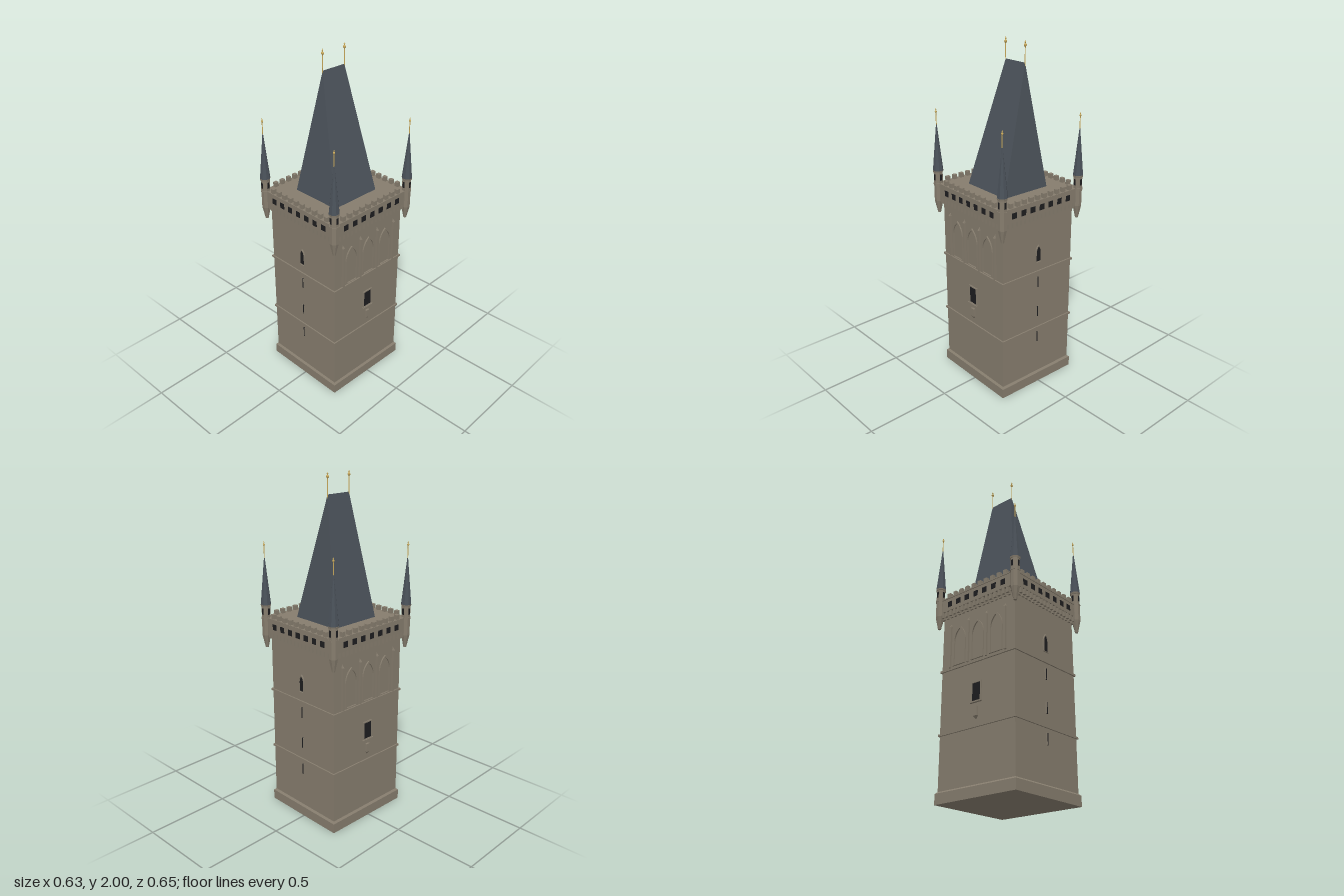
import * as THREE from 'three';

const mat = (name, color) => {
  const m = new THREE.MeshStandardMaterial({ color });
  m.name = name;
  return m;
};

export function createModel() {
  const stone = mat('stone', 0x857c6d);
  const slate = mat('slate', 0x4b525a);
  const dark = mat('darkOpening', 0x1d1d1f);
  const gold = mat('gold', 0xc9a95c);

  const tower = new THREE.Group();
  tower.name = 'tower';
  tower.rotation.y = -0.0367; // the plan stands slightly turned

  const add = (parent, name, geo, material, x = 0, y = 0, z = 0) => {
    const m = new THREE.Mesh(geo, material);
    m.name = name;
    m.position.set(x, y, z);
    parent.add(m);
    return m;
  };
  const group = (parent, name) => {
    const g = new THREE.Group();
    g.name = name;
    parent.add(g);
    return g;
  };
  const faceted = (g) => {
    const f = g.toNonIndexed();
    f.computeVertexNormals();
    return f;
  };
  // Rectangular stone block from y0 to y1 with half sizes hx, hz
  const block = (parent, name, hx, hz, y0, y1) =>
    add(parent, name, new THREE.BoxGeometry(hx * 2, y1 - y0, hz * 2), stone, 0, (y0 + y1) / 2, 0);
  // Block whose top corners are moved to given half sizes and offsets
  const taper = (hx, hz, y0, y1, top) => {
    const g = new THREE.BoxGeometry(hx * 2, y1 - y0, hz * 2);
    const p = g.attributes.position;
    for (let i = 0; i < p.count; i++) {
      if (p.getY(i) > 0)
        p.setXYZ(i, top.x + Math.sign(p.getX(i)) * top.hx, y1, top.z + Math.sign(p.getZ(i)) * top.hz);
      else p.setY(i, y0);
    }
    return faceted(g);
  };

  // Main body: half width A along x, half depth B along z
  const A = 0.256, B = 0.265;
  block(tower, 'plinth', A + 0.011, B + 0.011, 0, 0.058);
  add(tower, 'plinthSlope', taper(A + 0.011, B + 0.011, 0.058, 0.068, { x: 0, z: 0, hx: A, hz: B }), stone);
  block(tower, 'body', A, B, 0.06, 1.066);
  for (const y of [0.37, 0.735]) block(tower, 'stringCourse', A + 0.008, B + 0.008, y - 0.006, y + 0.006);

  // Gallery
  const PA = 0.28, PB = 0.289;
  block(tower, 'gallery', PA, PB, 1.096, 1.178);
  block(tower, 'galleryCornice', PA + 0.004, PB + 0.004, 1.172, 1.18);

  // Pointed arch outline, centred on u = 0
  const arch = (Type, hw, y0, spring, apex) => {
    const s = new Type();
    const h = apex - spring;
    s.moveTo(-hw, y0);
    s.lineTo(hw, y0);
    s.lineTo(hw, spring);
    s.quadraticCurveTo(hw * 0.92, spring + h * 0.65, 0, apex);
    s.quadraticCurveTo(-hw * 0.92, spring + h * 0.65, -hw, spring);
    s.closePath();
    return s;
  };
  const extrude = (shape, depth) =>
    new THREE.ExtrudeGeometry(shape, { depth, bevelEnabled: false, curveSegments: 6 });
  const archFrame = (hw, y0, spring, apex, t, depth) => {
    const s = arch(THREE.Shape, hw, y0, spring, apex);
    s.holes.push(arch(THREE.Path, hw - t, y0 + 0.002, spring, apex - t * 1.4));
    return extrude(s, depth);
  };
  const rectFrame = (parent, name, w, h, t, depth, y) => {
    for (const s of [-1, 1]) {
      add(parent, name, new THREE.BoxGeometry(t, h + 2 * t, depth), stone, s * (w + t) / 2, y, depth / 2);
      add(parent, name, new THREE.BoxGeometry(w, t, depth), stone, 0, y + s * (h + t) / 2, depth / 2);
    }
  };

  // Front and back: arched window above three slits
  const slitFace = (f) => {
    add(f, 'archedWindow', extrude(arch(THREE.Shape, 0.016, 0.8, 0.855, 0.89), 0.003), dark);
    add(f, 'archedWindowFrame', archFrame(0.022, 0.794, 0.855, 0.9, 0.006, 0.007), stone);
    for (const y of [0.307, 0.477, 0.667]) {
      add(f, 'slit', new THREE.BoxGeometry(0.011, 0.065, 0.004), dark, 0, y, 0.001);
      for (const s of [-1, 1])
        add(f, 'slitJamb', new THREE.BoxGeometry(0.004, 0.065, 0.006), stone, s * 0.0075, y, 0.003);
    }
  };

  // Left and right: blind arcade, framed window and bracket
  const arcadeFace = (f) => {
    for (const i of [-1, 0, 1])
      add(f, 'blindArch', archFrame(0.046, 0.75, 0.9, 0.982, 0.009, 0.008), stone, i * 0.135);
    for (const i of [-1.5, -0.5, 0.5, 1.5]) {
      add(f, 'pilaster', new THREE.BoxGeometry(0.012, 0.25, 0.012), stone, i * 0.135, 0.87, 0.006);
      add(f, 'pilasterTip', taper(0.006, 0.006, 0.995, 1.015, { x: 0, z: -0.006, hx: 0, hz: 0 }),
        stone, i * 0.135, 0, 0.006);
    }
    add(f, 'squareWindow', new THREE.BoxGeometry(0.058, 0.1, 0.004), dark, 0, 0.56, 0.001);
    rectFrame(f, 'squareWindowFrame', 0.058, 0.1, 0.007, 0.007, 0.56);
    add(f, 'windowSill', new THREE.BoxGeometry(0.08, 0.008, 0.013), stone, 0, 0.503, 0.0065);
    add(f, 'bracket', new THREE.BoxGeometry(0.026, 0.05, 0.012), stone, 0, 0.45, 0.006);
    const tip = taper(0.013, 0.006, 0, 0.018, { x: 0, z: -0.006, hx: 0, hz: 0 });
    add(f, 'bracketTip', tip, stone, 0, 0.425, 0.006).rotation.z = Math.PI;
  };

  // Gallery detail on one side: corbels, openings, merlons
  const galleryFace = (f, half, step) => {
    const n = 18;
    for (let i = 0; i < n; i++) {
      const u = ((i + 0.5) / n - 0.5) * 2 * (half - 0.012);
      add(f, 'corbel', new THREE.BoxGeometry(0.016, 0.034, 0.03), stone, u, 1.081, -0.016);
      add(f, 'corbelFoot', new THREE.BoxGeometry(0.016, 0.018, 0.016), stone, u, 1.063, -0.022);
    }
    for (let i = -3; i <= 3; i++)
      add(f, 'galleryOpening', new THREE.BoxGeometry(0.032, 0.033, 0.004), dark, i * step, 1.135, 0);
    for (let i = 0; i < 10; i++)
      add(f, 'merlon', new THREE.BoxGeometry(0.023, 0.028, 0.021), stone, (i - 4.5) * 0.0475, 1.193, -0.0105);
  };

  ['front', 'left', 'back', 'right'].forEach((name, k) => {
    const across = k % 2 === 1;
    const turn = group(tower, name + 'Side');
    turn.rotation.y = (k * Math.PI) / 2;
    const wall = group(turn, name + 'Wall');
    wall.position.z = across ? A : B;
    (across ? arcadeFace : slitFace)(wall);
    const gallery = group(turn, name + 'Gallery');
    gallery.position.z = across ? PA : PB;
    galleryFace(gallery, across ? PB : PA, across ? 0.067 : 0.0655);
  });

  // Finial: thin rod with two knobs
  const finial = (parent, x, y, z, h, r) => {
    const pts = [[0.0025, -0.02], [0.0025, h * 0.68], [r, h * 0.75], [r, h * 0.79], [0.002, h * 0.85],
      [r * 0.6, h * 0.89], [0.0015, h * 0.93], [0, h]].map(([a, b]) => new THREE.Vector2(a, b));
    add(parent, 'finial', faceted(new THREE.LatheGeometry(pts, 6)), gold, x, y, z);
  };

  // Steep roof with an off-centre ridge
  add(tower, 'roof', taper(0.154, 0.159, 1.179, 1.88, { x: -0.038, z: -0.0195, hx: 0, hz: 0.079 }), slate);
  for (const z of [-0.0985, 0.0595]) finial(tower, -0.038, 1.88, z, 0.12, 0.008);

  // Octagonal corner turrets
  const oct = (rTop, rBottom, y0, y1) =>
    faceted(new THREE.CylinderGeometry(rTop, rBottom, y1 - y0, 8).rotateY(Math.PI / 8).translate(0, (y0 + y1) / 2, 0));
  for (const sx of [-1, 1]) for (const sz of [-1, 1]) {
    const t = group(tower, 'turret');
    t.position.set(sx * 0.275, 0, sz * 0.285);
    add(t, 'turretFoot', oct(0.026, 0.009, 1.0, 1.075), stone);
    add(t, 'turretShaft', oct(0.026, 0.026, 1.075, 1.252), stone);
    add(t, 'turretBand', oct(0.029, 0.029, 1.172, 1.181), stone);
    add(t, 'turretEave', oct(0.031, 0.029, 1.246, 1.256), stone);
    add(t, 'turretSpire', oct(0.001, 0.03, 1.256, 1.535), slate);
    for (let k = 0; k < 4; k++) {
      const a = (k * Math.PI) / 2;
      const w = add(t, 'turretWindow', new THREE.BoxGeometry(0.012, 0.036, 0.003), dark,
        Math.sin(a) * 0.0243, 1.216, Math.cos(a) * 0.0243);
      w.rotation.y = a;
    }
    finial(t, 0, 1.53, 0, 0.085, 0.006);
  }

  const model = new THREE.Group();
  model.name = 'gateTower';
  model.add(tower);
  return model;
}
